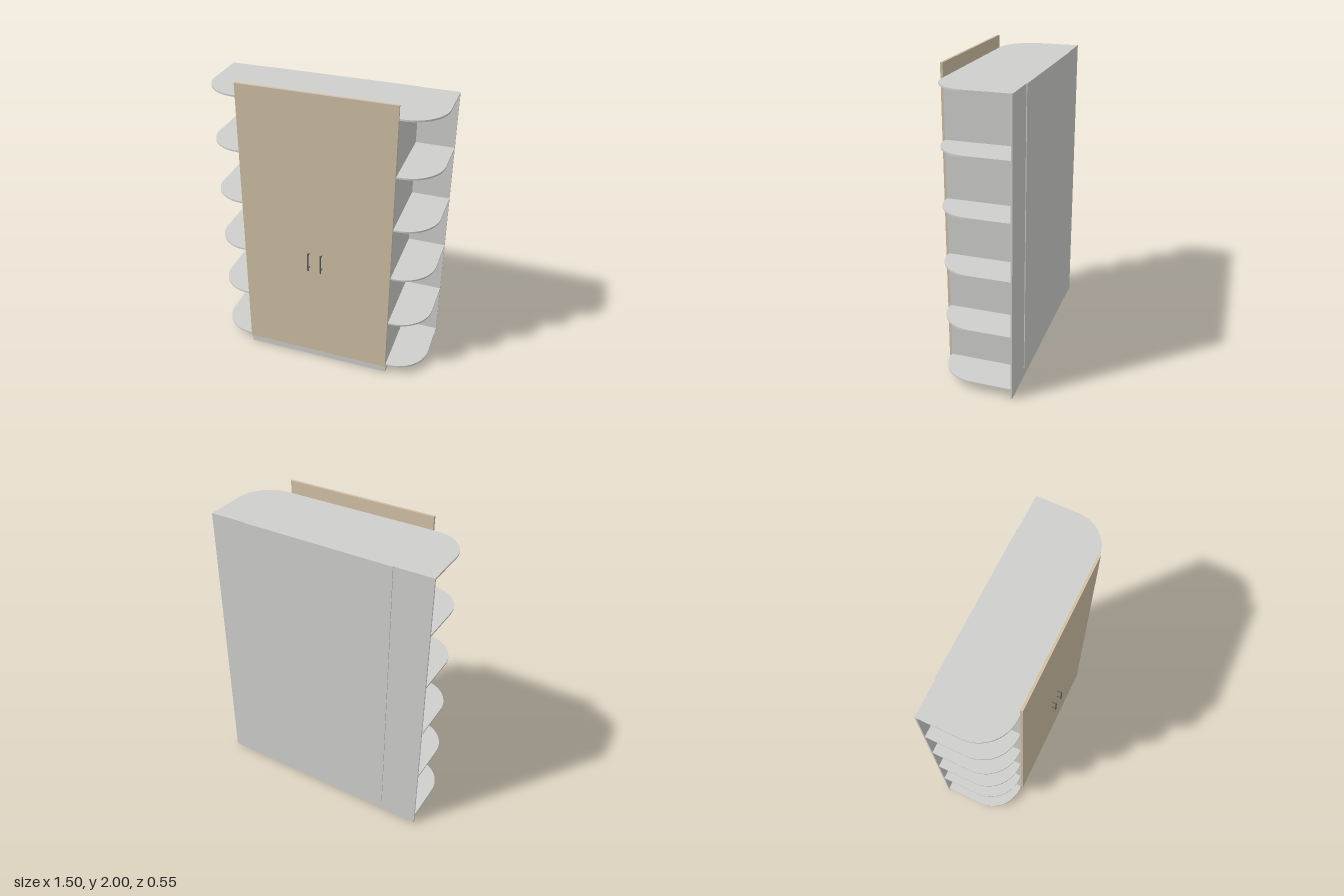
import * as THREE from 'three';

const H = 1.915;      // carcass height
const T = 0.011;      // board thickness
const BACK = -0.26;   // inner face of the back board
const FRONT = 0.224;  // front edge of the carcass

export function createModel() {
  const group = new THREE.Group();
  const board = new THREE.MeshStandardMaterial({ color: 0xcfcfcd });
  board.name = 'pale grey board';
  const wood = new THREE.MeshStandardMaterial({ color: 0xd2c1a7 });
  wood.name = 'beige door';
  const metal = new THREE.MeshStandardMaterial({ color: 0x5a6064 });
  metal.name = 'dark metal';

  // Box given by its lower and upper corners
  function box(name, material, x0, x1, y0, y1, z0, z1, parent = group) {
    const mesh = new THREE.Mesh(new THREE.BoxGeometry(x1 - x0, y1 - y0, z1 - z0), material);
    mesh.position.set((x0 + x1) / 2, (y0 + y1) / 2, (z0 + z1) / 2);
    mesh.name = name;
    parent.add(mesh);
    return mesh;
  }

  // Horizontal board from a plan shape (shape y = -z), with its top at the given height
  function slab(name, shape, top) {
    const geometry = new THREE.ExtrudeGeometry(shape, { depth: T, bevelEnabled: false, curveSegments: 20 });
    geometry.rotateX(-Math.PI / 2);
    const mesh = new THREE.Mesh(geometry, board);
    mesh.position.y = top - T;
    mesh.name = name;
    group.add(mesh);
  }

  const R = 0.224;
  // Top board with both front corners rounded
  const topShape = new THREE.Shape();
  topShape.moveTo(-0.748, -BACK);
  topShape.lineTo(-0.748, -FRONT + R);
  topShape.absarc(-0.748 + R, -FRONT + R, R, Math.PI, Math.PI * 1.5, false);
  topShape.lineTo(0.748 - R, -FRONT);
  topShape.absarc(0.748 - R, -FRONT + R, R, -Math.PI / 2, 0, false);
  topShape.lineTo(0.748, -BACK);
  topShape.closePath();
  slab('topBoard', topShape, H);

  // Open end shelves with a rounded outer corner
  function shelfShape(s) {
    const shape = new THREE.Shape();
    const cx = s * (0.748 - R);
    shape.moveTo(s * 0.5, -BACK);
    shape.lineTo(s * 0.5, -FRONT);
    shape.lineTo(cx, -FRONT);
    shape.absarc(cx, -FRONT + R, R, -Math.PI / 2, s > 0 ? 0 : -Math.PI, s < 0);
    shape.lineTo(s * 0.748, -BACK);
    shape.closePath();
    return shape;
  }
  for (const s of [1, -1]) {
    const side = s > 0 ? 'left' : 'right';
    for (let i = 0; i < 5; i++) slab(side + 'EndShelf' + (i + 1), shelfShape(s), 0.071 + i * 0.3688);
    const inner = s * (0.5 - T), outer = s * 0.5;
    box(side + 'SidePanel', board, Math.min(inner, outer), Math.max(inner, outer), 0, H - T, BACK, FRONT);
  }

  // Back boards, cabinet floor and plinth
  box('backBoard', board, -0.748, 0.748, 0, H, -0.27, BACK);
  box('cabinetBackPanel', board, -0.5, 0.5, 0.06, H, -0.275, -0.27);
  box('cabinetFloor', board, -0.5 + T, 0.5 - T, 0.06, 0.071, BACK, FRONT);
  box('plinthFront', board, -0.5 + T, 0.5 - T, 0, 0.06, FRONT - T, FRONT);

  // Doors, each with a bar handle on two posts
  for (const s of [1, -1]) {
    const side = s > 0 ? 'left' : 'right';
    box(side + 'Door', wood, s > 0 ? 0 : -0.5, s > 0 ? 0.5 : 0, 0.06, 2, FRONT, 0.24);
    const handle = new THREE.Group();
    handle.name = side + 'Handle';
    handle.position.set(s * 0.043, 0.837, 0);
    const bar = new THREE.Mesh(new THREE.CylinderGeometry(0.005, 0.005, 0.136, 16), metal);
    bar.name = 'handleBar';
    bar.position.z = 0.27;
    handle.add(bar);
    for (const y of [-0.052, 0.052]) {
      const post = new THREE.Mesh(new THREE.CylinderGeometry(0.0035, 0.0035, 0.03, 12), metal);
      post.name = 'handlePost';
      post.rotation.x = Math.PI / 2;
      post.position.set(0, y, 0.255);
      handle.add(post);
    }
    group.add(handle);
  }
  return group;
}
